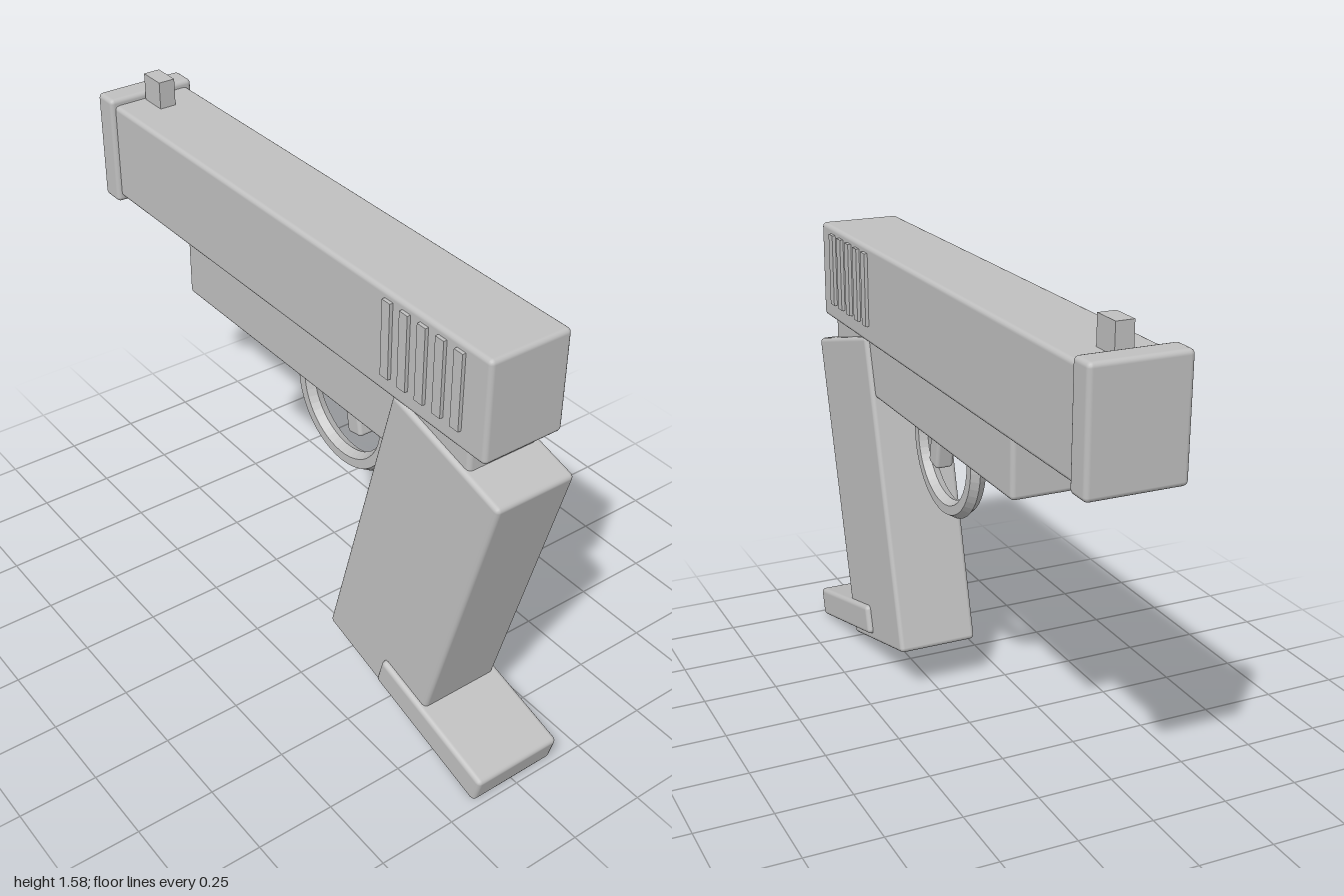
import * as THREE from 'three';
import { RoundedBoxGeometry } from 'three/addons/geometries/RoundedBoxGeometry.js';

export function createModel() {
  const model = new THREE.Group();
  const grey = new THREE.MeshStandardMaterial({ color: 0xc0c0c0 });
  grey.name = 'light grey';
  const greyFlat = grey.clone();
  greyFlat.name = 'light grey faceted';
  greyFlat.flatShading = true;

  const add = (name, geometry, x, y, z, tilt = 0, material = grey) => {
    const mesh = new THREE.Mesh(geometry, material);
    mesh.name = name;
    mesh.position.set(x, y, z);
    mesh.rotation.x = THREE.MathUtils.degToRad(tilt);
    model.add(mesh);
    return mesh;
  };
  const rounded = (w, h, d, r = 0.015) => new RoundedBoxGeometry(w, h, d, 2, r);

  // Upper body
  add('slide', rounded(0.27, 0.32, 1.84), 0, 1.342, -0.018);
  add('frame', rounded(0.24, 0.2, 1.365), 0, 1.098, 0.147);
  add('endCap', rounded(0.3, 0.36, 0.085), 0, 1.344, -0.957);
  add('sight', new THREE.BoxGeometry(0.055, 0.1, 0.092), 0, 1.54, -0.861);

  // Raised ribs on both sides of the slide
  for (const side of [-1, 1]) {
    for (let i = 0; i < 5; i++) {
      add('slideRib', new THREE.BoxGeometry(0.02, 0.238, 0.034), side * 0.136, 1.36, 0.79 - i * 0.073);
    }
  }

  // Slanted handle and its foot plate
  add('grip', rounded(0.27, 1.06, 0.46), 0, 0.625, 0.608, 15);
  add('gripFoot', rounded(0.304, 0.1, 0.485), 0, 0.115, 0.755, 15);

  // Trigger and the open loop below it
  add('trigger', rounded(0.06, 0.22, 0.064, 0.012), 0, 0.945, 0.2, -11);
  const arc = THREE.MathUtils.degToRad(200);
  const loop = new THREE.TorusGeometry(0.202, 0.03, 6, 28, arc);
  loop.rotateZ(-Math.PI / 2 - arc / 2);
  loop.rotateY(Math.PI / 2);
  add('triggerGuard', loop, 0, 0.92, 0.152, 0, greyFlat);
  // Flat caps on the two loop ends
  for (const side of [-1, 1]) {
    const a = THREE.MathUtils.degToRad(10);
    const cap = add('guardEnd', new THREE.CylinderGeometry(0.03, 0.03, 0.004, 6), 0,
      0.92 + 0.202 * Math.sin(a), 0.152 + side * 0.202 * Math.cos(a), -side * 10, greyFlat);
    cap.geometry.rotateY(0);
  }

  return model;
}
